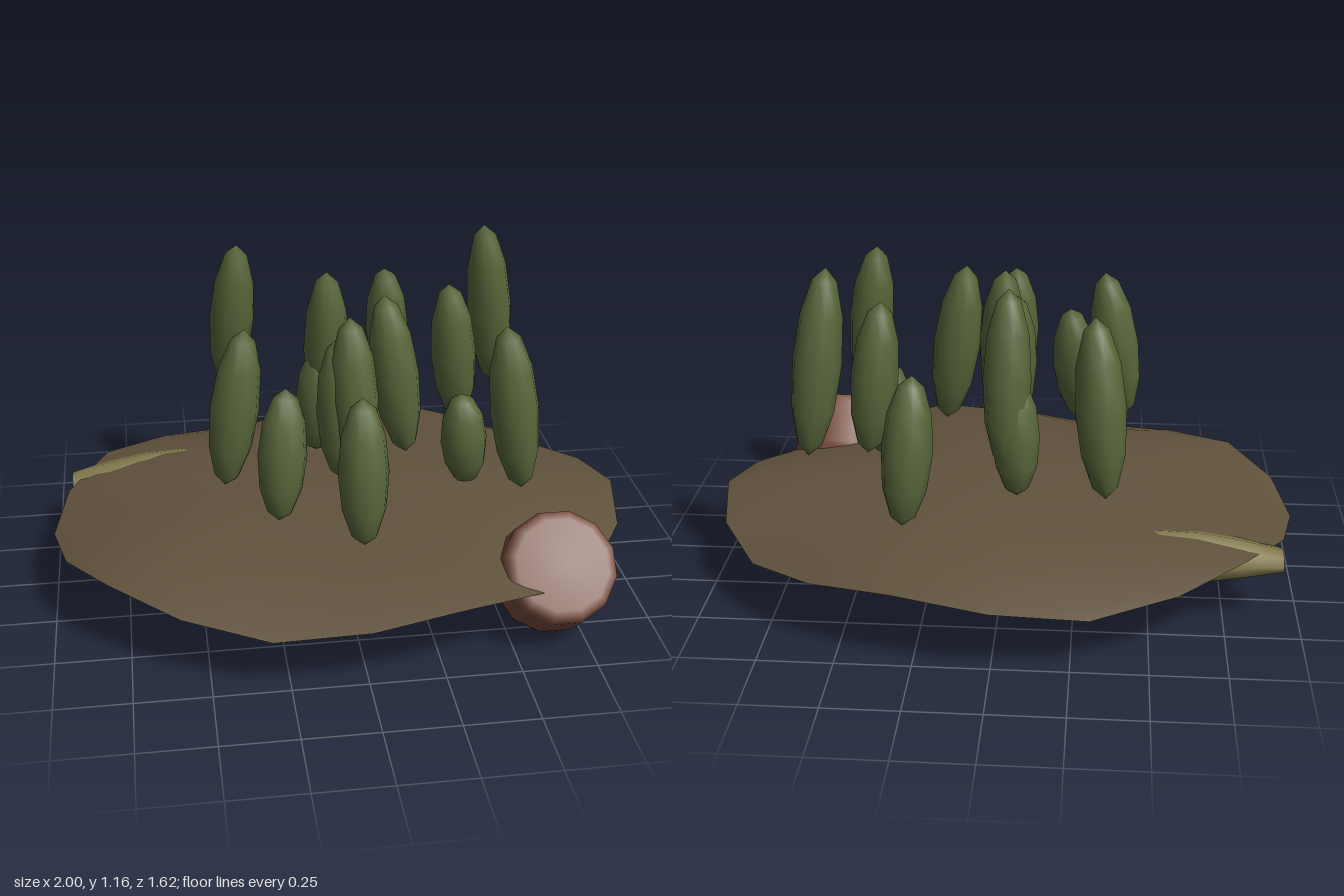
import * as THREE from 'three';
import { mergeVertices } from 'three/addons/utils/BufferGeometryUtils.js';

const mat = (name, color) => {
  const m = new THREE.MeshStandardMaterial({ color });
  m.name = name;
  return m;
};

// weld the seams and recompute soft normals
function smooth(geo) {
  geo.deleteAttribute('uv');
  geo.deleteAttribute('normal');
  const g = mergeVertices(geo, 1e-4);
  g.computeVertexNormals();
  return g;
}

// half of a lens-shaped disc with a wavy rim
function discHalf(top) {
  const g = new THREE.SphereGeometry(1, 20, 5, 0, Math.PI * 2, top ? 0 : Math.PI / 2, Math.PI / 2);
  const p = g.attributes.position;
  const side = top ? 1 : -1;
  for (let i = 0; i < p.count; i++) {
    const x = p.getX(i), z = p.getZ(i);
    const r = Math.min(1, Math.hypot(x, z)), a = Math.atan2(z, x);
    const wave = 0.034 * Math.cos(5 * a) * r ** 3;
    p.setXYZ(i, x, 0.237 + side * 0.117 * (1 - r ** 2.5) + wave, z * 0.81);
  }
  return smooth(g);
}

export function createModel() {
  const group = new THREE.Group();
  const earth = mat('earth brown', 0x60523c);
  const green = mat('leaf green', 0x58663a);
  const clay = mat('clay red', 0x784d3d);
  const straw = mat('straw olive', 0x80774a);

  const add = (name, geo, material) => {
    const mesh = new THREE.Mesh(geo, material);
    mesh.name = name;
    group.add(mesh);
    return mesh;
  };

  // ground disc, creased along its rim
  add('groundTop', discHalf(true), earth);
  add('groundUnderside', discHalf(false), earth);

  // floating pods: lower tip and upper tip
  const pods = [
    [0, 0.44, 0.615, 0, 0.92, 0.55],
    [0.555, 0.49, 0.40, 0.49, 1.05, 0.36],
    [-0.245, 0.41, 0.37, -0.21, 0.85, 0.30],
    [-0.41, 0.48, 0.23, -0.33, 1.02, 0.20],
    [0.22, 0.50, 0.11, 0.14, 1.07, 0.09],
    [0.44, 0.355, 0.09, 0.41, 0.70, 0.10],
    [0.04, 0.48, 0.22, 0.015, 1.03, 0.17],
    [-0.01, 0.45, 0.18, -0.02, 0.95, 0.15],
    [-0.05, 0.36, -0.22, -0.04, 0.78, -0.19],
    [-0.01, 0.47, -0.24, -0.02, 1.07, -0.15],
    [0.46, 0.48, -0.17, 0.405, 1.01, -0.135],
    [0.63, 0.54, -0.34, 0.555, 1.17, -0.28],
    [0.285, 0.44, -0.625, 0.25, 0.92, -0.56],
    [-0.35, 0.50, -0.515, -0.305, 1.08, -0.44],
  ];
  const podGeo = smooth(new THREE.SphereGeometry(1, 10, 6));
  const up = new THREE.Vector3(0, 1, 0);
  for (const [x0, y0, z0, x1, y1, z1] of pods) {
    const low = new THREE.Vector3(x0, y0, z0);
    const axis = new THREE.Vector3(x1, y1, z1).sub(low);
    const length = axis.length();
    const pod = add('pod', podGeo, green);
    pod.position.copy(low).addScaledVector(axis, 0.5);
    pod.quaternion.setFromUnitVectors(up, axis.normalize());
    pod.scale.set(0.081, length / 2, 0.081);
  }

  // rounded drum leaning at the rim
  const profile = [[0, -0.134], [0.155, -0.131], [0.185, -0.116], [0.192, -0.08], [0.192, 0.08], [0.185, 0.116], [0.155, 0.131], [0, 0.134]]
    .map(([r, y]) => new THREE.Vector2(r, y));
  const drumGeo = smooth(new THREE.LatheGeometry(profile, 12));
  drumGeo.rotateY(Math.PI / 12);
  const drum = add('drum', drumGeo, clay);
  drum.position.set(0.655, 0.216, 0.5);
  drum.rotation.x = 0.85;

  // half-buried log, thinner towards its ends
  const logGeo = new THREE.CylinderGeometry(1, 1, 0.82, 8, 6);
  const p = logGeo.attributes.position;
  for (let i = 0; i < p.count; i++) {
    const t = p.getY(i) / 0.82 + 0.5;
    const bulge = Math.sin(Math.PI * t);
    p.setXYZ(i,
      -0.12 - 0.82 * t,
      0.19 + 0.025 * t + 0.024 * bulge + p.getX(i) * (0.035 + 0.056 * bulge),
      -0.38 + 0.03 * t + p.getZ(i) * (0.055 + 0.06 * bulge));
  }
  logGeo.computeVertexNormals();
  add('buriedLog', logGeo, straw);

  return group;
}
